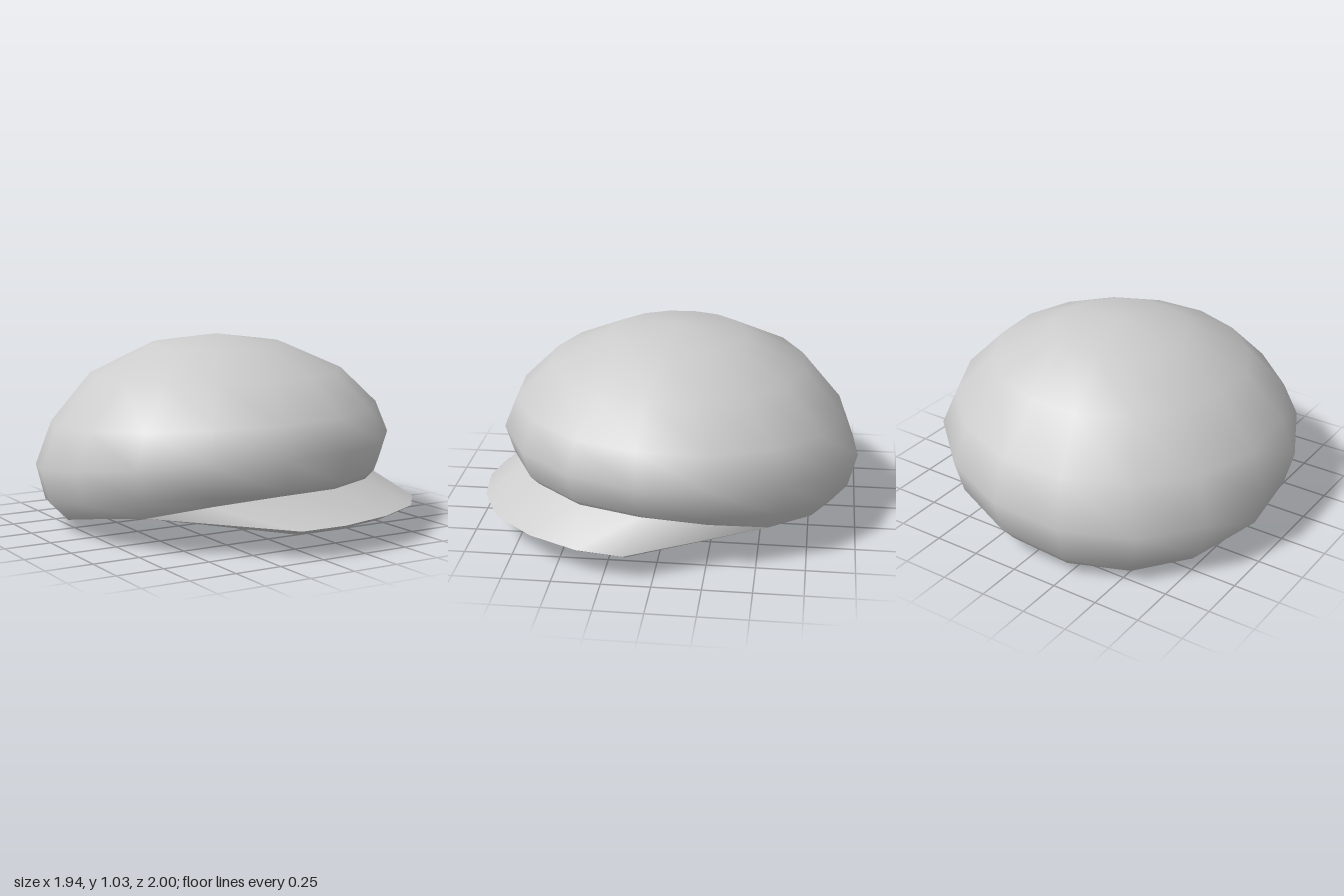
import * as THREE from 'three';
import { mergeVertices } from 'three/addons/utils/BufferGeometryUtils.js';

const SIDES = 16;
const STEP = (Math.PI * 2) / SIDES;
const AXIS = THREE.MathUtils.degToRad(37.3); // direction the peak points, from +z towards +x

// Point at an angle from the peak direction, with the ring slid along that direction
function polar(angle, radius, y, slide = 0) {
  return [
    radius * Math.sin(AXIS + angle) + slide * Math.sin(AXIS) + 0.005,
    y,
    radius * Math.cos(AXIS + angle) + slide * Math.cos(AXIS) - 0.018,
  ];
}

// Skin over rows of points, top row first, each row running anticlockwise from above
function skin(rows) {
  const pos = [];
  for (let i = 0; i < rows.length - 1; i++) {
    for (let j = 0; j < rows[i].length - 1; j++) {
      const a = rows[i][j], b = rows[i + 1][j], c = rows[i + 1][j + 1], d = rows[i][j + 1];
      pos.push(...a, ...b, ...c, ...a, ...c, ...d);
    }
  }
  const geo = new THREE.BufferGeometry();
  geo.setAttribute('position', new THREE.Float32BufferAttribute(pos, 3));
  const merged = mergeVertices(geo, 1e-4);
  merged.computeVertexNormals();
  return merged;
}

// Lower rim of the crown: level above the peak, falling to the ground at the back
const RIM_HEIGHTS = [0.292, 0.292, 0.289, 0.25, 0.178, 0.136, 0.073, 0.022, 0];
const rimPoint = (k) =>
  polar(k * STEP, 0.835, RIM_HEIGHTS[Math.abs(k) > 8 ? SIDES - k : Math.abs(k)],
    -0.04 * Math.sin(k * STEP) ** 2);

export function createModel() {
  const group = new THREE.Group();
  const grey = new THREE.MeshStandardMaterial({ color: 0xcccccc, side: THREE.DoubleSide });
  grey.name = 'grey';
  const add = (name, geo) => {
    const mesh = new THREE.Mesh(geo, grey);
    mesh.name = name;
    group.add(mesh);
  };

  // Crown rings: radius, mean height, tilt, lift at the sides, slide along the peak direction
  const rings = [
    [0, 1.03, 0, 0, -0.01],
    [0.364, 0.979, 0.002, 0, -0.01],
    [0.679, 0.833, 0.012, 0, -0.012],
    [0.884, 0.612, 0.055, 0.008, -0.025],
    [0.962, 0.422, 0.095, 0.025, -0.036],
    [0.915, 0.252, 0.115, 0.028, -0.035],
  ];
  const around = Array.from({ length: SIDES + 1 }, (_, k) => k % SIDES);
  const crownRows = rings.map(([r, y, tilt, lift, slide]) => around.map((k) => {
    const a = k * STEP;
    const lean = r * 0.008 * Math.sin(a);
    return polar(a, r, y + tilt * Math.cos(a) - lift * Math.cos(2 * a) + lean, slide);
  }));
  crownRows.push(around.map(rimPoint));
  add('crown', skin(crownRows));

  // Peak: the front half of the rim drawn out into a narrower flared edge
  const edge = [[0, 1.116, 0.17], [14.5, 1.09, 0.165], [29, 1.052, 0.154], [42, 1.002, 0.143]];
  const edgePoint = (k, inset, drop) => {
    if (Math.abs(k) === 4) return rimPoint(k);
    const [deg, r, y] = edge[Math.abs(k)];
    const p = polar(THREE.MathUtils.degToRad(deg) * Math.sign(k), r - inset, y - drop);
    return [p[0] - 0.02, p[1], p[2] - 0.025];
  };
  const front = [-4, -3, -2, -1, 0, 1, 2, 3, 4];
  const rim = front.map(rimPoint);
  const outer = front.map((k) => edgePoint(k, 0, 0));
  const lower = front.map((k) => edgePoint(k, 0.04, 0.024));
  add('peak', skin([rim, outer]));
  add('peakEdge', skin([outer, lower]));

  // Underside: closes the peak edge and the back half of the rim
  const outline = [...lower, ...[5, 6, 7, 8, 9, 10, 11, 12].map(rimPoint)];
  const centre = outline.map(() => polar(0, 0.2, 0.135));
  add('underside', skin([outline, centre]));

  return group;
}
